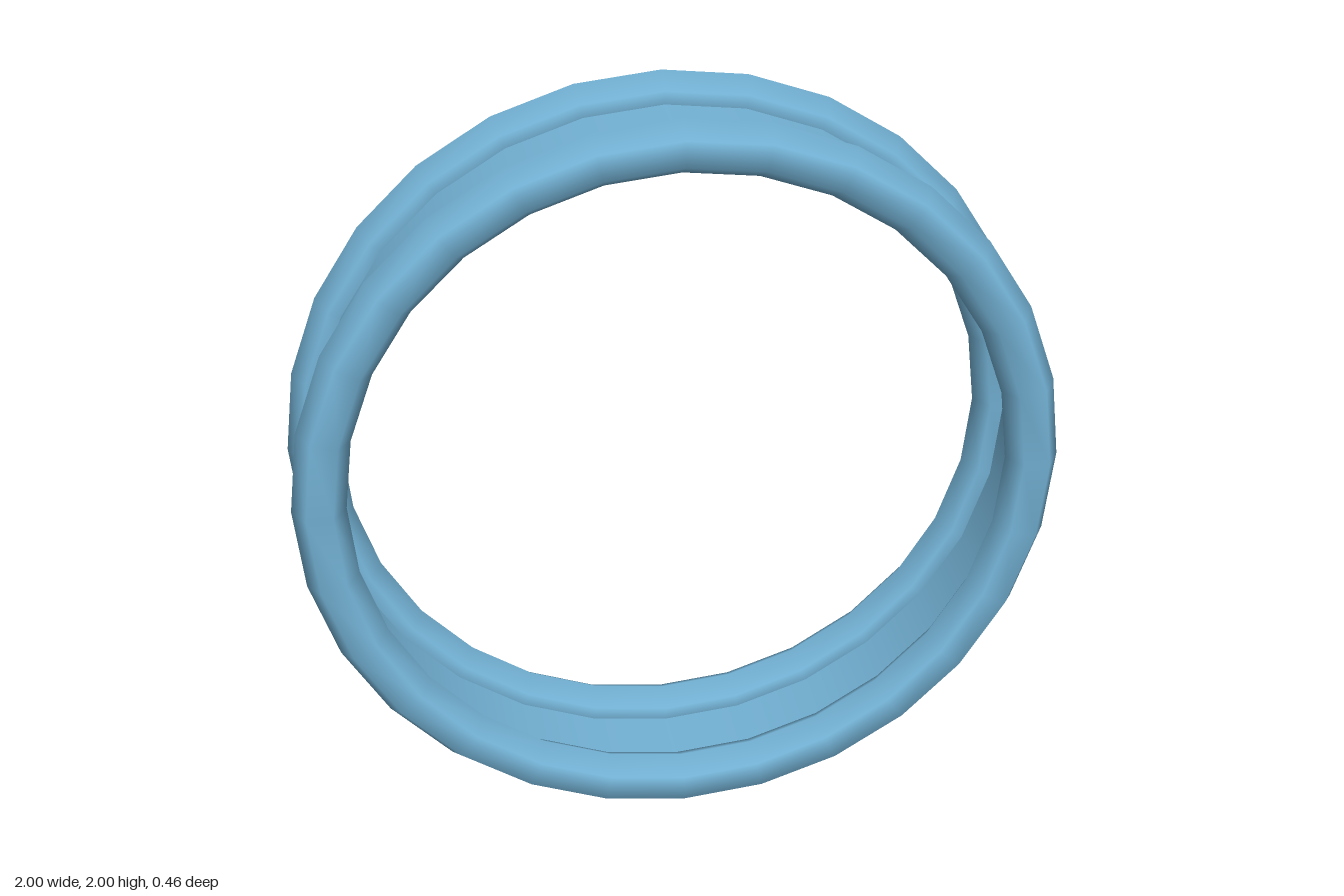
import * as THREE from 'three';

const SEGMENTS = 28;      // sides around the hoop
const RADIUS = 0.93;      // centre line of rims and band
const TUBE = 0.07;        // rim thickness radius
const RIM_Z = 0.167;      // rim distance from the middle

export function createModel() {
  const group = new THREE.Group();
  group.name = 'hoop';

  const blue = new THREE.MeshStandardMaterial({ color: 0x74b3d6, side: THREE.DoubleSide });
  blue.name = 'sky blue';

  // Front and back rims with a six-sided section
  const rimGeometry = new THREE.TorusGeometry(RADIUS, TUBE, 6, SEGMENTS);
  for (const [name, z] of [['frontRim', RIM_Z], ['backRim', -RIM_Z]]) {
    const rim = new THREE.Mesh(rimGeometry, blue);
    rim.name = name;
    rim.position.set(0, 1, z);
    group.add(rim);
  }

  // Thin open band joining the rims
  const bandGeometry = new THREE.CylinderGeometry(RADIUS, RADIUS, RIM_Z * 2, SEGMENTS, 1, true);
  bandGeometry.rotateX(Math.PI / 2);
  const band = new THREE.Mesh(bandGeometry, blue);
  band.name = 'band';
  band.position.y = 1;
  group.add(band);

  return group;
}
